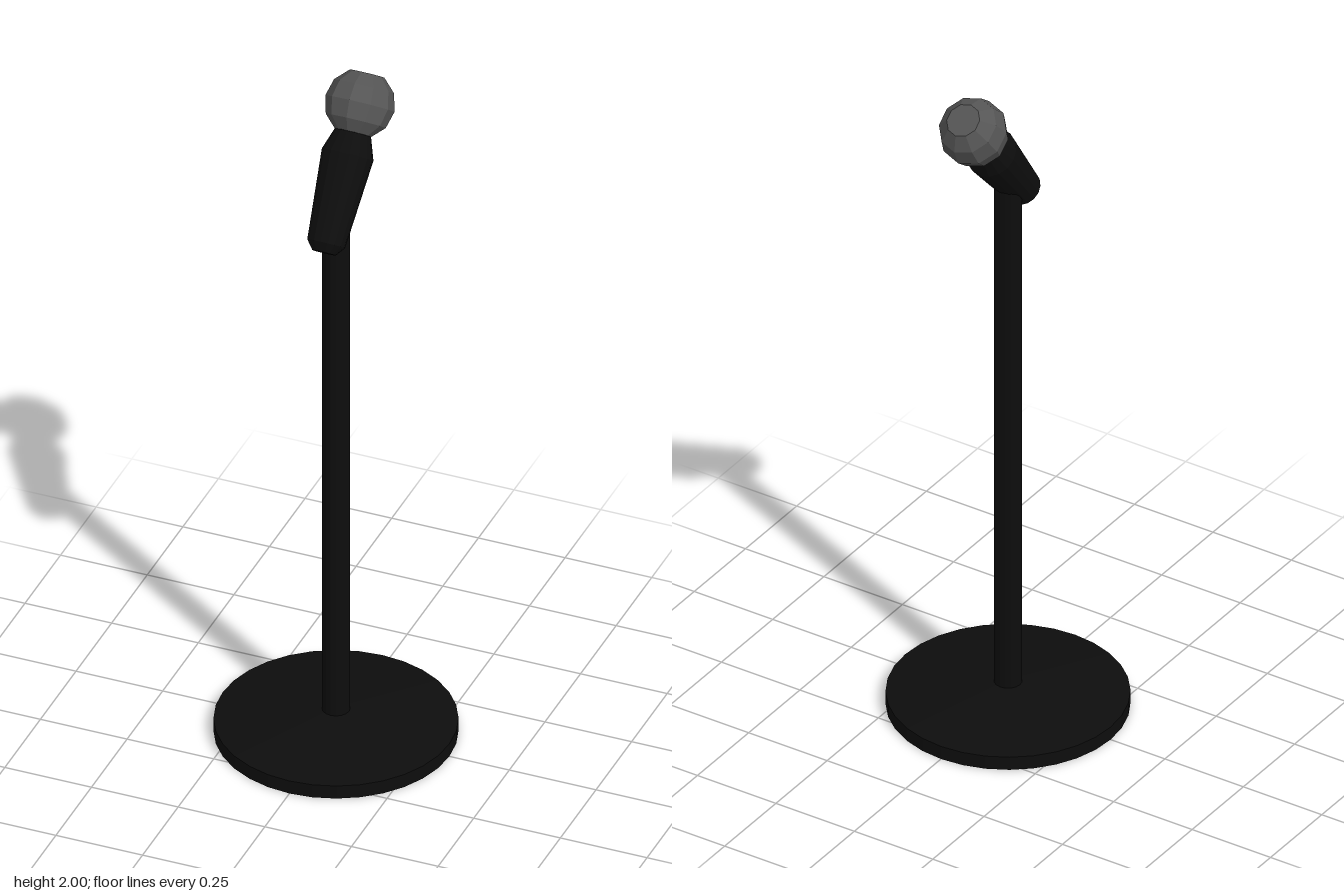
import * as THREE from 'three';

const black = new THREE.MeshStandardMaterial({ color: 0x0d0d0d, flatShading: true, side: THREE.DoubleSide });
const grey = new THREE.MeshStandardMaterial({ color: 0x555555, flatShading: true });

// Turned part from [radius, height] pairs, listed bottom to top
function turned(name, profile, sides, material) {
  const points = profile.map(([r, y]) => new THREE.Vector2(r, y));
  const mesh = new THREE.Mesh(new THREE.LatheGeometry(points, sides), material);
  mesh.name = name;
  return mesh;
}

export function createModel() {
  const model = new THREE.Group();
  model.name = 'microphoneStand';

  // Hollow round base, open underneath, with a shallow conical top
  model.add(turned('base', [[0.327, 0], [0.327, 0.04], [0.036, 0.072]], 32, black));

  // Upright pole, closed at both ends
  const bottom = 0.068, top = 1.66;
  const pole = new THREE.Mesh(new THREE.CylinderGeometry(0.038, 0.038, top - bottom, 16), black);
  pole.name = 'pole';
  pole.position.y = (bottom + top) / 2;
  model.add(pole);

  // Microphone leaning backwards, with its origin at the centre of the head
  const microphone = new THREE.Group();
  microphone.name = 'microphone';
  microphone.position.set(0, 1.908, -0.168);
  microphone.rotation.x = THREE.MathUtils.degToRad(-38);

  // Tapered handle with a chamfered end and a narrowing neck
  microphone.add(turned('handle', [
    [0, -0.41], [0.032, -0.41], [0.052, -0.385], [0.071, -0.14], [0.05, -0.08], [0, -0.06],
  ], 16, black));

  // Faceted ball head with flat caps
  const radius = 0.095;
  const rings = [[0, -radius * Math.cos(Math.PI / 6)]];
  for (let i = 1; i <= 5; i++) {
    const a = (i * Math.PI) / 6;
    rings.push([radius * Math.sin(a), -radius * Math.cos(a)]);
  }
  rings.push([0, radius * Math.cos(Math.PI / 6)]);
  microphone.add(turned('head', rings, 10, grey));

  model.add(microphone);
  return model;
}
